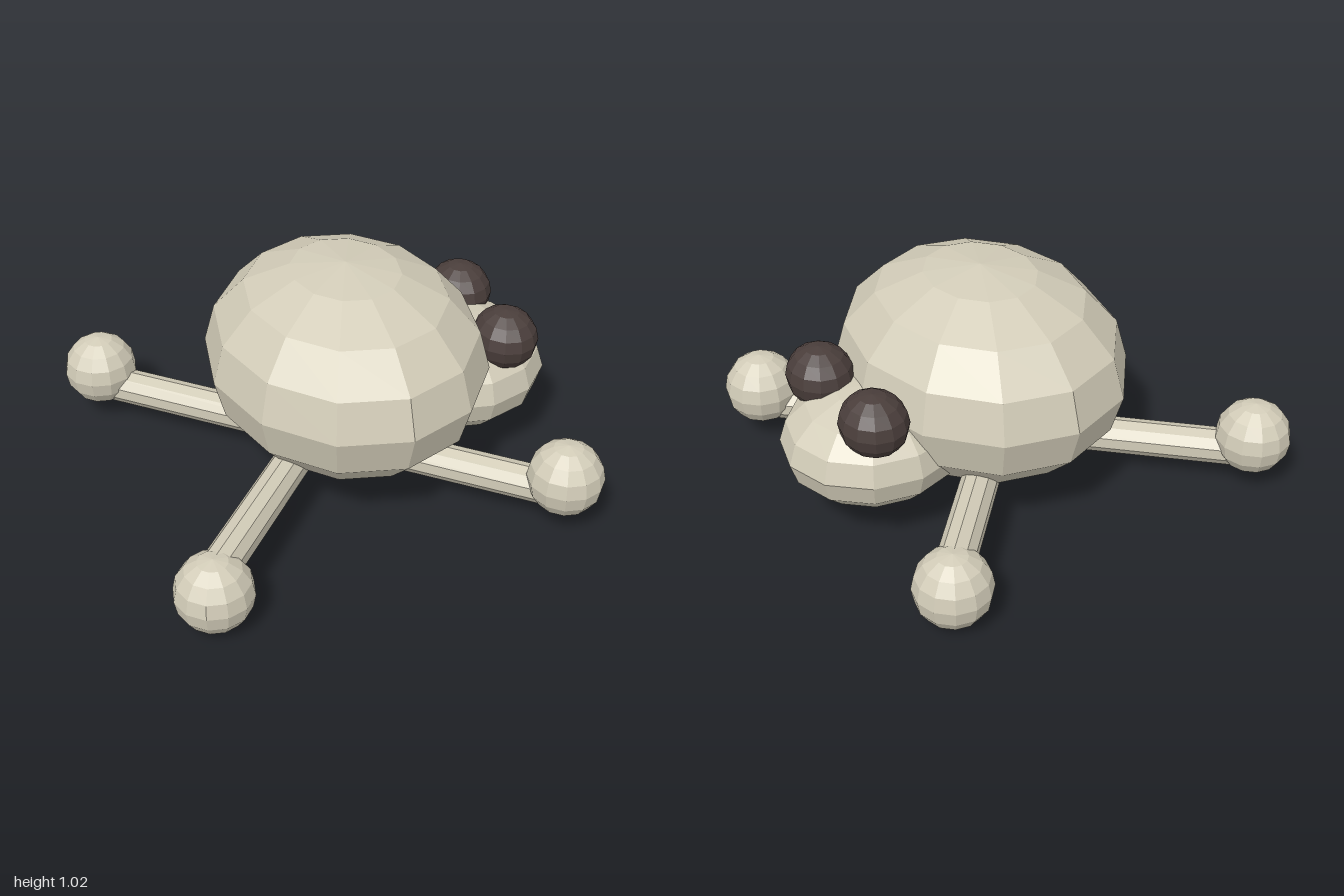
import * as THREE from 'three';

export function createModel() {
  const model = new THREE.Group();
  const skin = new THREE.MeshStandardMaterial({ color: 0xd2ccb8, flatShading: true });
  const dark = new THREE.MeshStandardMaterial({ color: 0x4a3e3b, flatShading: true });

  // Faceted ellipsoid
  function blob(name, material, [x, y, z], [rx, ry, rz]) {
    const mesh = new THREE.Mesh(new THREE.SphereGeometry(1, 12, 8), material);
    mesh.name = name;
    mesh.position.set(x, y, z);
    mesh.scale.set(rx, ry, rz);
    model.add(mesh);
  }

  // Shell and head, with the head towards +x
  blob('body', skin, [0.06, 0.565, 0], [0.6, 0.455, 0.695]);
  blob('head', skin, [0.6, 0.38, 0], [0.4, 0.25, 0.378]);

  for (const s of [-1, 1]) {
    blob(s > 0 ? 'leftEye' : 'rightEye', dark, [0.722, 0.61, s * 0.215], [0.142, 0.136, 0.155]);
  }

  // Two crossed leg bars, one above the other, with a ball foot at each end
  const cx = -0.052, reach = 0.782, footRadius = 0.165;
  for (const s of [-1, 1]) {
    const barY = s < 0 ? 0.245 : 0.17;
    const footY = s < 0 ? 0.167 : 0.243;
    const bar = new THREE.Mesh(
      new THREE.CylinderGeometry(0.08, 0.08, reach * 2 * Math.SQRT2, 10), skin);
    bar.name = s < 0 ? 'upperLegBar' : 'lowerLegBar';
    bar.position.set(cx, barY, 0);
    bar.quaternion.setFromUnitVectors(
      new THREE.Vector3(0, 1, 0), new THREE.Vector3(1, 0, s).normalize());
    // Roll the bar so that one edge lies on top
    const up = new THREE.Vector3(0, 1, 0).applyQuaternion(bar.quaternion.clone().invert());
    bar.rotateY(Math.atan2(up.x, up.z));
    model.add(bar);

    for (const e of [-1, 1]) {
      blob('foot', skin, [cx + e * reach, footY, e * s * reach],
        [footRadius, footRadius, footRadius]);
    }
  }
  return model;
}
